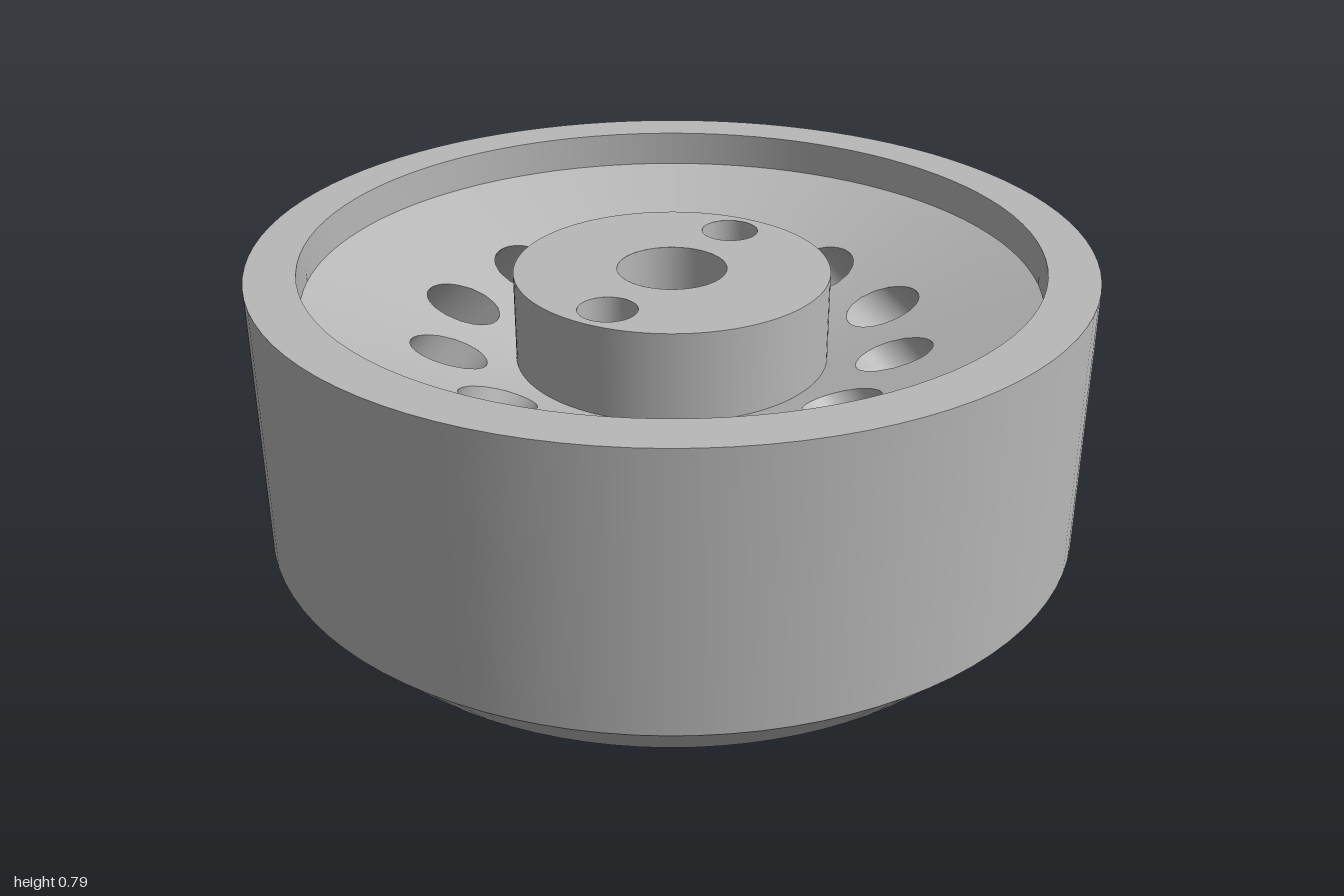
import * as THREE from 'three';
import { mergeGeometries, mergeVertices } from 'three/addons/utils/BufferGeometryUtils.js';

const SEG = 96;
const TOP = 0.79, LIP = 0.70, HUB_TOP = 0.74;
const R_IN = 0.88, R_HUB = 0.38;
const HOLES = 12, HOLE_R = 0.086, HOLE_AT = 0.545, HOLE_END = 0.38;
const SCREWS = [[0.277, -0.075], [-0.277, 0.075]];
// height of the dished face at radius r
const dish = r => LIP - (R_IN - r) * 0.36;

// indexed surface through rows of points; each row is a closed ring
function ringSurface(rows) {
  const n = rows[0].length, idx = [];
  for (let j = 0; j < rows.length - 1; j++) {
    for (let i = 0; i < n; i++) {
      const a = j * n + i, b = j * n + (i + 1) % n, c = a + n, d = b + n;
      idx.push(a, c, b, b, c, d);
    }
  }
  const g = new THREE.BufferGeometry();
  g.setAttribute('position', new THREE.Float32BufferAttribute(rows.flat(2), 3));
  g.setIndex(idx);
  g.computeVertexNormals();
  return g;
}

// point of a slanted drilling, h = angle round the drill, s = depth (null: on the dish)
function drillPoint(h, s) {
  const q = Math.SQRT1_2, u = HOLE_R * Math.cos(h) * q, t = HOLE_R * Math.sin(h);
  const at = d => [HOLE_AT + u + d * q, dish(HOLE_AT) + u - d * q, t];
  if (s !== null) return at(s);
  let lo = -0.3, hi = 0.3;
  for (let k = 0; k < 40; k++) {
    const mid = (lo + hi) / 2, [x, y, z] = at(mid);
    if (y > dish(Math.hypot(x, z))) lo = mid; else hi = mid;
  }
  return at(lo);
}

// one sector of the dish: rows run from the drilled opening to the sector border
function dishSector() {
  const half = Math.PI / HOLES, n = 8, border = [];
  const corners = [[-half, R_HUB], [half, R_HUB], [half, R_IN], [-half, R_IN]];
  corners.forEach((c, k) => {
    const e = corners[(k + 1) % 4];
    for (let i = 0; i < n; i++) {
      border.push([c[0] + (e[0] - c[0]) * i / n, c[1] + (e[1] - c[1]) * i / n]);
    }
  });
  const open = border.map(([a, r]) => {
    const [x, , z] = drillPoint(Math.atan2(a * HOLE_AT, r - HOLE_AT), null);
    return [Math.atan2(z, x), Math.hypot(x, z)];
  });
  const rows = [];
  for (let j = 0; j <= 5; j++) {
    rows.push(border.map(([a, r], i) => {
      const f = j / 5, ang = open[i][0] + (a - open[i][0]) * f, rad = open[i][1] + (r - open[i][1]) * f;
      return [rad * Math.cos(ang), dish(rad), rad * Math.sin(ang)];
    }));
  }
  return ringSurface(rows);
}

// wall of one drilling
function drillWall() {
  const rings = [null, HOLE_END].map(s =>
    Array.from({ length: 40 }, (_, i) => drillPoint(i / 40 * Math.PI * 2, s)));
  return ringSurface(rings);
}

export function createModel() {
  const model = new THREE.Group();
  const grey = new THREE.MeshStandardMaterial({ color: 0xb8b8b8, side: THREE.DoubleSide });
  grey.name = 'machined grey';

  const add = (name, geo) => {
    const m = new THREE.Mesh(geo, grey);
    m.name = name;
    model.add(m);
    return m;
  };
  // turned band between two (radius, height) points
  const band = (name, r0, y0, r1, y1, seg = SEG) =>
    add(name, new THREE.LatheGeometry([new THREE.Vector2(r0, y0), new THREE.Vector2(r1, y1)], seg));
  // flat disc with round holes given as [x, z, radius]
  const plate = (name, r, y, holes, up) => {
    const shape = new THREE.Shape().absarc(0, 0, r, 0, Math.PI * 2);
    for (const [x, z, hr] of holes) {
      shape.holes.push(new THREE.Path().absarc(x, up ? -z : z, hr, 0, Math.PI * 2, true));
    }
    const g = new THREE.ShapeGeometry(shape, SEG / 2);
    g.rotateX(up ? -Math.PI / 2 : Math.PI / 2).translate(0, y, 0);
    return add(name, g);
  };
  // bore wall at x, z
  const bore = (name, r, y0, y1, x = 0, z = 0) =>
    band(name, r, y1, r, y0, 40).position.set(x, 0, z);

  // outer body
  band('bottomChamfer', R_IN, 0, 1, 0.125);
  band('outerWall', 1, 0.125, 1, TOP);
  band('topRim', 1, TOP, R_IN, TOP);
  band('innerLip', R_IN, TOP, R_IN, LIP);
  plate('bottomFace', R_IN, 0, [[0, 0, 0.072], ...SCREWS.map(p => [...p, 0.033])], false);

  // dished face with a ring of slanted drillings
  const sector = dishSector(), wall = drillWall();
  const around = g => Array.from({ length: HOLES }, (_, i) =>
    g.clone().rotateY(i / HOLES * Math.PI * 2));
  const face = mergeVertices(mergeGeometries(around(sector)));
  face.computeVertexNormals();
  add('dishedFace', face);
  add('drilledHoles', mergeGeometries(around(wall)));
  const ends = new THREE.CircleGeometry(HOLE_R, 40).rotateY(Math.PI / 2).rotateZ(Math.PI * 0.75)
    .translate(HOLE_AT + HOLE_END * Math.SQRT1_2, dish(HOLE_AT) - HOLE_END * Math.SQRT1_2, 0);
  add('drilledHoleEnds', mergeGeometries(around(ends)));

  // hub
  band('hubWall', R_HUB, dish(R_HUB), R_HUB, HUB_TOP);
  plate('hubTop', R_HUB, HUB_TOP, [[0, 0, 0.132], ...SCREWS.map(p => [...p, 0.07])], true);

  // stepped centre bore
  bore('centreCounterbore', 0.132, 0.4, HUB_TOP);
  plate('centreStep', 0.132, 0.4, [[0, 0, 0.034]], true);
  bore('centreBore', 0.034, 0.25, 0.4);
  plate('centreLowerStep', 0.072, 0.25, [[0, 0, 0.034]], false);
  bore('centreLowerBore', 0.072, 0, 0.25);

  // counterbored screw holes
  for (const [x, z] of SCREWS) {
    bore('screwCounterbore', 0.07, 0.5, HUB_TOP, x, z);
    plate('screwStep', 0.07, 0.5, [[0, 0, 0.033]], true).position.set(x, 0, z);
    bore('screwBore', 0.033, 0, 0.5, x, z);
  }
  return model;
}
